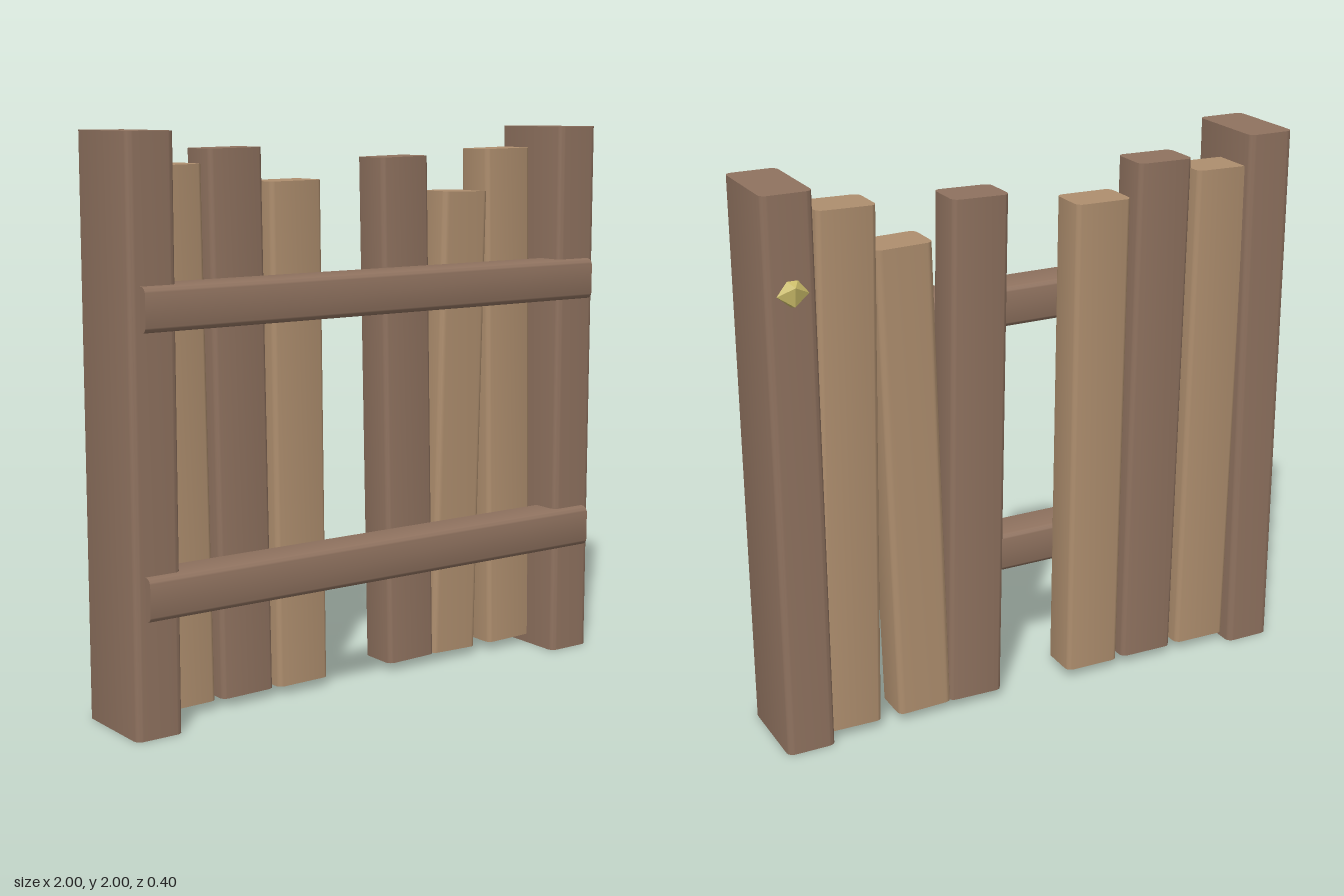
import * as THREE from 'three';
import { toCreasedNormals } from 'three/addons/utils/BufferGeometryUtils.js';

const mat = (name, color) => {
  const m = new THREE.MeshStandardMaterial({ color });
  m.name = name;
  return m;
};

// Timber standing along y, long edges rounded, ends cut flat, centred on the origin
function timber(width, length, depth, r = 0.025) {
  const w = width / 2, d = depth / 2;
  const s = new THREE.Shape();
  s.moveTo(-w + r, -d);
  s.lineTo(w - r, -d);
  s.absarc(w - r, -d + r, r, -Math.PI / 2, 0);
  s.lineTo(w, d - r);
  s.absarc(w - r, d - r, r, 0, Math.PI / 2);
  s.lineTo(-w + r, d);
  s.absarc(-w + r, d - r, r, Math.PI / 2, Math.PI);
  s.lineTo(-w, -d + r);
  s.absarc(-w + r, -d + r, r, Math.PI, Math.PI * 1.5);
  const g = new THREE.ExtrudeGeometry(s, { depth: length, bevelEnabled: false, curveSegments: 3 });
  g.translate(0, 0, -length / 2);
  g.rotateX(-Math.PI / 2);
  return toCreasedNormals(g, 0.7);
}

export function createModel() {
  const group = new THREE.Group();
  const dark = mat('dark wood', 0x8f725f);
  const light = mat('light wood', 0xae8e6e);
  const brass = mat('brass', 0xcbbc69);

  const add = (name, geometry, material, x, y, z) => {
    const mesh = new THREE.Mesh(geometry, material);
    mesh.name = name;
    mesh.position.set(x, y, z);
    group.add(mesh);
    return mesh;
  };

  // End posts
  for (const side of [-1, 1]) {
    add(side < 0 ? 'rightPost' : 'leftPost', timber(0.178, 2, 0.336), dark, side * 0.911, 1, -0.005);
  }

  // Horizontal rails
  for (const [name, y] of [['lowerRail', 0.482], ['upperRail', 1.434]]) {
    add(name, timber(0.15, 1.92, 0.157), dark, 0, y, 0.1175).rotation.z = Math.PI / 2;
  }

  // Leaning planks: bottom centre x, top centre x, top y, width, material
  const planks = [
    [-0.708, -0.737, 1.886, 0.215, light],
    [-0.468, -0.498, 1.938, 0.215, dark],
    [-0.233, -0.254, 1.823, 0.215, light],
    [0.257, 0.217, 1.897, 0.212, dark],
    [0.459, 0.499, 1.766, 0.208, light],
    [0.735, 0.698, 1.92, 0.212, light],
  ];
  planks.forEach(([x0, x1, top, width, material], i) => {
    const bottom = 0.032, dx = x1 - x0, dy = top - bottom;
    const plank = add(`plank${i + 1}`, timber(width, Math.hypot(dx, dy), 0.157), material,
      (x0 + x1) / 2, (top + bottom) / 2, -0.063);
    plank.rotation.z = -Math.atan2(dx, dy);
  });

  // Faceted knob set into the back of the left post
  const knob = add('knob', new THREE.IcosahedronGeometry(0.065, 0), brass, 0.906, 1.675, -0.14);
  knob.rotation.x = -0.18;

  return group;
}
